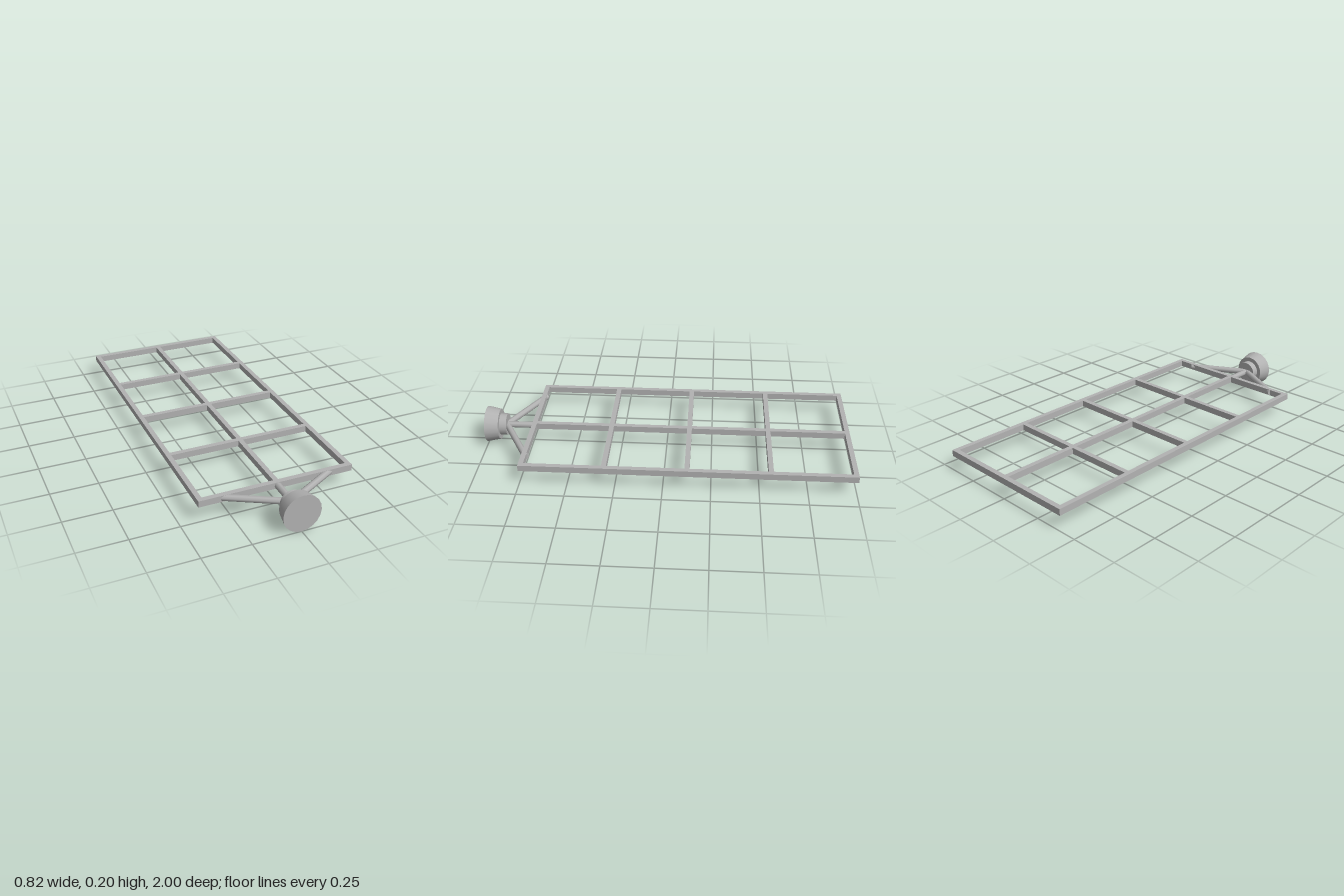
import * as THREE from 'three';

export function createModel() {
  const model = new THREE.Group();
  const metal = new THREE.MeshStandardMaterial({ color: 0xb2b2b2 });
  metal.name = 'grey metal';
  const midY = 0.1, bar = 0.026, barH = 0.034;

  const add = (name, geometry, x, y, z) => {
    const mesh = new THREE.Mesh(geometry, metal);
    mesh.name = name;
    mesh.position.set(x, y, z);
    model.add(mesh);
    return mesh;
  };

  // Long rails: two outer sides and a thinner central spine
  const back = -1, front = 0.75, length = front - back, halfW = 0.41;
  for (const s of [-1, 1]) {
    add(s > 0 ? 'leftRail' : 'rightRail', new THREE.BoxGeometry(bar, barH, length),
      s * (halfW - bar / 2), midY, (front + back) / 2);
  }
  add('centreRail', new THREE.BoxGeometry(bar, barH, length - 2 * bar), 0, midY, (front + back) / 2);

  // Five evenly spaced crossbars, the end ones closing the frame
  const first = back + bar / 2, step = (length - bar) / 4;
  for (let i = 0; i < 5; i++) {
    add('crossbar', new THREE.BoxGeometry(2 * (halfW - bar), barH, bar), 0, midY, first + i * step);
  }

  // Struts gathering at the mounting collar
  const strut = (name, end) => {
    const hub = new THREE.Vector3(0, midY, 0.895);
    const dir = hub.clone().sub(end);
    const mid = hub.clone().add(end).multiplyScalar(0.5);
    const mesh = add(name, new THREE.CylinderGeometry(0.0175, 0.0175, dir.length(), 8), mid.x, mid.y, mid.z);
    mesh.quaternion.setFromUnitVectors(new THREE.Vector3(0, 1, 0), dir.normalize());
  };
  strut('leftStrut', new THREE.Vector3(0.305, midY, 0.727));
  strut('rightStrut', new THREE.Vector3(-0.305, midY, 0.727));
  strut('centreStrut', new THREE.Vector3(0, midY, 0.735));

  // Collar and flared end cap, both along z
  const disc = (name, rFront, rBack, z0, z1) =>
    add(name, new THREE.CylinderGeometry(rFront, rBack, z1 - z0, 20).rotateX(Math.PI / 2),
      0, midY, (z0 + z1) / 2);
  disc('collar', 0.06, 0.06, 0.888, 0.93);
  disc('endCap', 0.099, 0.084, 0.927, 1);

  return model;
}
